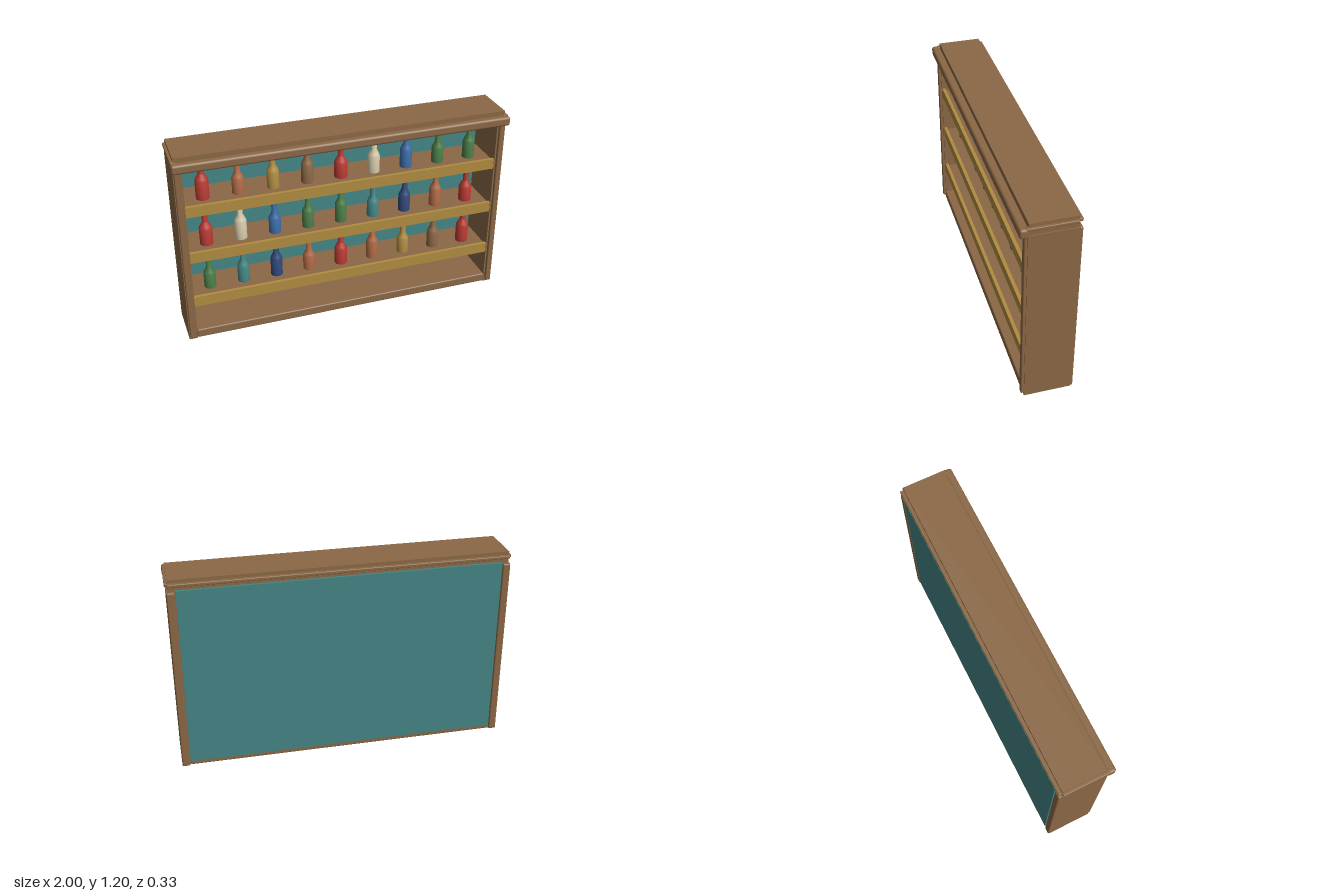
import * as THREE from 'three';
import { toCreasedNormals } from 'three/addons/utils/BufferGeometryUtils.js';
import { RoundedBoxGeometry } from 'three/addons/geometries/RoundedBoxGeometry.js';

const colours = {
  wood: 0x8b6845, gold: 0xb08c42, teal: 0x458585, red: 0xb83a32, terracotta: 0xb06a45,
  cream: 0xd6c9a9, blue: 0x3b6ca8, green: 0x4a7d48, navy: 0x30497a,
};
const mats = {};
for (const [name, hex] of Object.entries(colours)) {
  mats[name] = new THREE.MeshStandardMaterial({ color: hex });
  mats[name].name = name;
}

export function createModel() {
  const model = new THREE.Group();
  model.name = 'bottleShelf';

  // Box given by its limits; a positive radius softens the edges
  function box(name, mat, [x0, x1], [y0, y1], [z0, z1], radius = 0) {
    const size = [x1 - x0, y1 - y0, z1 - z0];
    const geo = radius ? new RoundedBoxGeometry(...size, 2, radius) : new THREE.BoxGeometry(...size);
    const mesh = new THREE.Mesh(geo, mats[mat]);
    mesh.position.set((x0 + x1) / 2, (y0 + y1) / 2, (z0 + z1) / 2);
    mesh.name = name;
    model.add(mesh);
  }

  // Side panels with a bead along the front and back edges
  for (const [side, s] of [['left', 1], ['right', -1]]) {
    const span = (a, b) => (s > 0 ? [a, b] : [-b, -a]);
    box(side + 'Panel', 'wood', span(0.94, 0.99), [0, 1.13], [-0.15, 0.12]);
    box(side + 'FrontBead', 'wood', span(0.95, 0.985), [0.015, 1.13], [0.1, 0.137], 0.006);
    box(side + 'BackBead', 'wood', span(0.945, 0.99), [0, 1.13], [-0.165, -0.13], 0.008);
    box(side + 'CorniceStrip', 'wood', span(0.97, 0.998), [1.162, 1.18], [-0.143, 0.13], 0.004);
  }

  // Floor, back panel and top
  box('bottomBoard', 'wood', [-0.94, 0.94], [0.005, 0.06], [-0.162, 0.125], 0.008);
  box('backPanel', 'teal', [-0.94, 0.94], [0.03, 1.14], [-0.163, -0.148]);
  box('topBoard', 'wood', [-0.983, 0.983], [1.128, 1.2], [-0.143, 0.115]);
  box('backCorniceStrip', 'wood', [-0.983, 0.983], [1.162, 1.18], [-0.165, -0.13], 0.004);
  box('frontCorniceBar', 'wood', [-1, 1], [1.122, 1.178], [0.115, 0.165], 0.014);

  // Bottle turned from a short profile; only the body height and radius vary
  function bottleGeometry(height, r) {
    const neck = height - 0.07, shoulder = height - 0.112;
    const profile = [
      [0, 0], [r, 0], [r, shoulder], [r * 0.84, shoulder + 0.015],
      [0.017, neck], [0.017, height], [0, height],
    ].map(([x, y]) => new THREE.Vector2(x, y));
    return toCreasedNormals(new THREE.LatheGeometry(profile, 16), 0.6);
  }

  // Shelves from top to bottom, each with a row of bottles
  const rows = [
    { y: 0.875, tops: [0.225, 0.205, 0.215],
      row: ['red', 'terracotta', 'gold', 'wood', 'red', 'cream', 'blue', 'green', 'green'],
      heights: [1.10, 1.08, 1.09, 1.10, 1.08, 1.09, 1.10, 1.08, 1.09] },
    { y: 0.575,
      row: ['red', 'cream', 'blue', 'green', 'green', 'teal', 'navy', 'terracotta', 'red'],
      heights: [0.79, 0.80, 0.78, 0.79, 0.80, 0.78, 0.79, 0.80, 0.78] },
    { y: 0.275,
      row: ['green', 'teal', 'navy', 'terracotta', 'red', 'terracotta', 'gold', 'wood', 'red'],
      heights: [0.48, 0.49, 0.50, 0.48, 0.49, 0.50, 0.48, 0.49, 0.50] },
  ];
  for (const { y, row, heights } of rows) {
    box('shelfBoard', 'wood', [-0.94, 0.94], [y - 0.035, y], [-0.15, 0.1]);
    box('shelfLip', 'gold', [-0.94, 0.94], [y - 0.05, y + 0.015], [0.097, 0.117]);
    row.forEach((mat, i) => {
      const radius = mat === 'red' ? 0.039 : 0.036;
      const bottle = new THREE.Mesh(bottleGeometry(heights[i] - y, radius), mats[mat]);
      bottle.position.set((i - 4) * 0.205, y, 0);
      bottle.name = 'bottle';
      model.add(bottle);
    });
  }
  return model;
}
